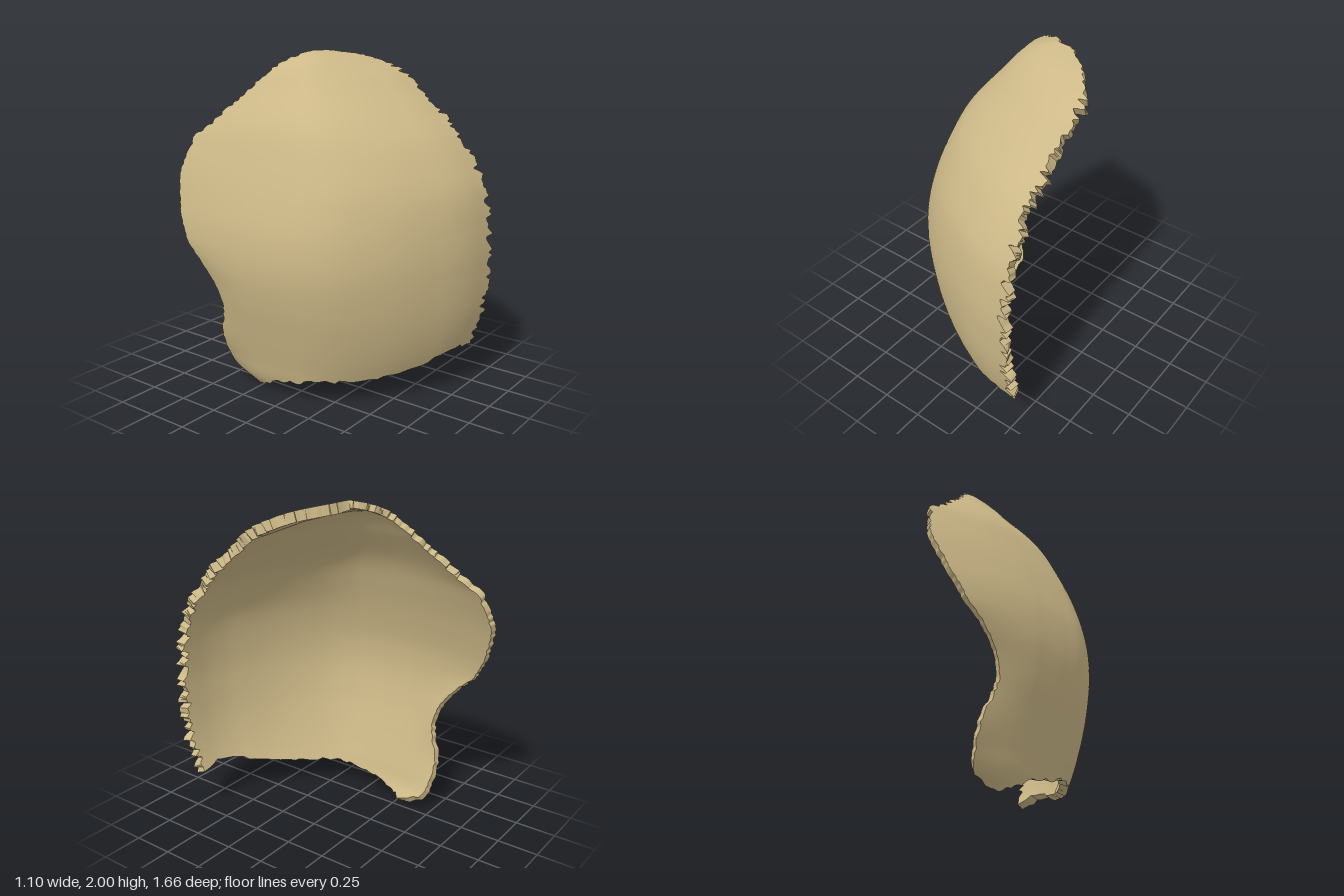
import * as THREE from 'three';
import { toCreasedNormals } from 'three/addons/utils/BufferGeometryUtils.js';

const ROWS = 280, COLS = 64;

// Smooth curve through [position, value] pairs
function curve(pts) {
  const n = pts.length;
  const slope = (i) => {
    const a = pts[Math.max(i - 1, 0)], b = pts[Math.min(i + 1, n - 1)];
    return (b[1] - a[1]) / (b[0] - a[0]);
  };
  return (x) => {
    let i = 0;
    while (i < n - 2 && x > pts[i + 1][0]) i++;
    const [x0, y0] = pts[i], [x1, y1] = pts[i + 1], h = x1 - x0;
    const t = THREE.MathUtils.clamp((x - x0) / h, 0, 1), t2 = t * t, t3 = t2 * t;
    return (2 * t3 - 3 * t2 + 1) * y0 + (t3 - 2 * t2 + t) * h * slope(i)
      + (3 * t2 - 2 * t3) * y1 + (t3 - t2) * h * slope(i + 1);
  };
}

// Seeded one-dimensional noise, 0 to 1
const hash = (i, seed) => {
  const v = Math.sin(i * 127.1 + seed * 311.7) * 43758.5453;
  return v - Math.floor(v);
};
function noise(x, seed) {
  const i = Math.floor(x), f = x - i, s = f * f * (3 - 2 * f);
  return hash(i, seed) * (1 - s) + hash(i + 1, seed) * s;
}

// Edges of the shell by height
const frontZ = curve([[0, 0.6], [0.25, 0.73], [0.5, 0.8], [0.8, 0.825], [1, 0.815], [1.2, 0.78], [1.34, 0.72],
  [1.52, 0.6], [1.66, 0.455], [1.79, 0.3], [1.86, 0.21], [1.92, 0.1], [1.965, -0.01], [2, -0.16]]);
const frontX = curve([[0, 0.46], [1.8, 0.46], [1.92, 0.44], [1.965, 0.37], [2, 0.2]]);
const sideX = curve([[0, -0.35], [0.08, -0.4], [0.2, -0.435], [0.4, -0.49], [0.6, -0.54], [0.8, -0.57], [1, -0.56],
  [1.2, -0.51], [1.4, -0.44], [1.6, -0.35], [1.8, -0.2], [1.92, -0.1], [1.97, 0], [2, 0.11]]);
const sideZ = curve([[0, -0.2], [1.6, -0.2], [1.8, -0.24], [1.9, -0.25], [2, -0.18]]);
const backZ = curve([[0, -0.36], [0.08, -0.45], [0.3, -0.48], [0.5, -0.42], [0.65, -0.45], [0.78, -0.55], [0.9, -0.67],
  [1.1, -0.77], [1.3, -0.82], [1.5, -0.74], [1.6, -0.61], [1.8, -0.42], [1.9, -0.32], [2, -0.2]]);
const backIn = curve([[0, 0.07], [0.3, 0.03], [0.8, 0.04], [1.1, 0.07], [1.3, 0.08], [1.5, 0.07], [1.6, 0.055],
  [1.8, 0.02], [1.9, 0.01], [2, 0]]);

// Horizontal profile from the front edge (0) round to the side (6)
const profileX = curve([[0, 1], [0.5, 0.84], [1, 0.67], [2, 0.39], [3, 0.165], [4, 0.05], [5, 0.015], [6, 0]]);
const profileZ = curve([[0, 1], [0.5, 0.982], [1, 0.932], [2, 0.785], [3, 0.59], [4, 0.4], [5, 0.22], [6, 0]]);
const bottomY = curve([[0, 0.25], [0.6, 0.28], [1, 0.24], [2, 0.175], [3, 0.155], [4, 0.14], [5, 0.11], [6, 0.05],
  [7, 0], [8, 0.06]]);

function surfacePoint(row, col) {
  const k = col / COLS * 8, low = bottomY(k);
  const y = low + (2 - low) * Math.sin(row / ROWS * Math.PI / 2);
  const sx = sideX(y), sz = sideZ(y);
  if (k <= 6) {
    return new THREE.Vector3(sx + (frontX(y) - sx) * profileX(k), y, sz + (frontZ(y) - sz) * profileZ(k));
  }
  const q = (k - 6) / 2;
  return new THREE.Vector3(sx + backIn(y) * q * q, y, sz + (backZ(y) - sz) * q);
}

function shellGeometry() {
  const W = COLS + 1, at = (i, j) => i * W + j;
  const outer = [];
  for (let i = 0; i <= ROWS; i++) for (let j = 0; j <= COLS; j++) outer.push(surfacePoint(i, j));

  const index = [];
  for (let i = 0; i < ROWS; i++) for (let j = 0; j < COLS; j++) {
    const a = at(i, j), b = at(i + 1, j), c = at(i, j + 1), d = at(i + 1, j + 1);
    index.push(a, b, c, b, d, c);
  }
  const sheet = new THREE.BufferGeometry().setFromPoints(outer);
  sheet.setIndex(index);
  sheet.computeVertexNormals();
  const normals = sheet.attributes.normal;

  // Inner face follows the outer one, thinning towards the back
  const inner = outer.map((p, n) => {
    const thick = 0.06 - 0.02 * (n % W) / COLS;
    return p.clone().addScaledVector(new THREE.Vector3().fromBufferAttribute(normals, n), -thick);
  });

  // Ragged teeth along an edge: push edge points along the sheet by noise
  function roughen(edge, inward, size, pitch, seed) {
    const moves = [];
    let run = 0;
    edge.forEach((n, m) => {
      if (m) run += outer[n].distanceTo(outer[edge[m - 1]]);
      const dir = outer[n].clone().sub(outer[inward[m]]).normalize();
      const amount = (s) => {
        const v = noise(run / pitch, s);
        return size(outer[n].y) * (v * 1.1 - 0.25);
      };
      moves.push([n, dir, amount(seed), amount(seed) * 0.6 + amount(seed + 1) * 0.4]);
    });
    for (const [n, dir, a, b] of moves) {
      outer[n].addScaledVector(dir, a);
      inner[n].addScaledVector(dir, b);
    }
  }
  const rows = [...Array(ROWS + 1).keys()], cols = [...Array(W).keys()];
  roughen(rows.map((i) => at(i, 0)), rows.map((i) => at(i, 3)), (y) => (y > 1.92 ? 0.03 : 0.075), 0.019, 3);
  roughen(rows.map((i) => at(i, COLS)), rows.map((i) => at(i, COLS - 4)), (y) => (y > 1.45 ? 0.04 : 0.015), 0.022, 11);
  roughen(cols.map((j) => at(0, j)), cols.map((j) => at(4, j)), () => 0.03, 0.035, 19);

  // Join both faces with a rim
  const N = outer.length, all = index.slice();
  for (let t = 0; t < index.length; t += 3) all.push(index[t] + N, index[t + 2] + N, index[t + 1] + N);
  const rim = (a, b) => all.push(a, b, b + N, a, b + N, a + N);
  for (let i = 0; i < ROWS; i++) {
    rim(at(i + 1, 0), at(i, 0));
    rim(at(i, COLS), at(i + 1, COLS));
  }
  for (let j = 0; j < COLS; j++) {
    rim(at(0, j), at(0, j + 1));
    rim(at(ROWS, j + 1), at(ROWS, j));
  }
  const shell = new THREE.BufferGeometry().setFromPoints([...outer, ...inner]);
  shell.setIndex(all);

  // Rest on the ground, centred
  shell.computeBoundingBox();
  const box = shell.boundingBox, c = box.getCenter(new THREE.Vector3());
  shell.translate(-c.x, -box.min.y, -c.z);
  return toCreasedNormals(shell, 0.75);
}

export function createModel() {
  const group = new THREE.Group();
  group.name = 'skullPlate';
  const bone = new THREE.MeshStandardMaterial({ color: 0xcdb988 });
  bone.name = 'bone';
  const shell = new THREE.Mesh(shellGeometry(), bone);
  shell.name = 'curvedBoneShell';
  group.add(shell);
  return group;
}
